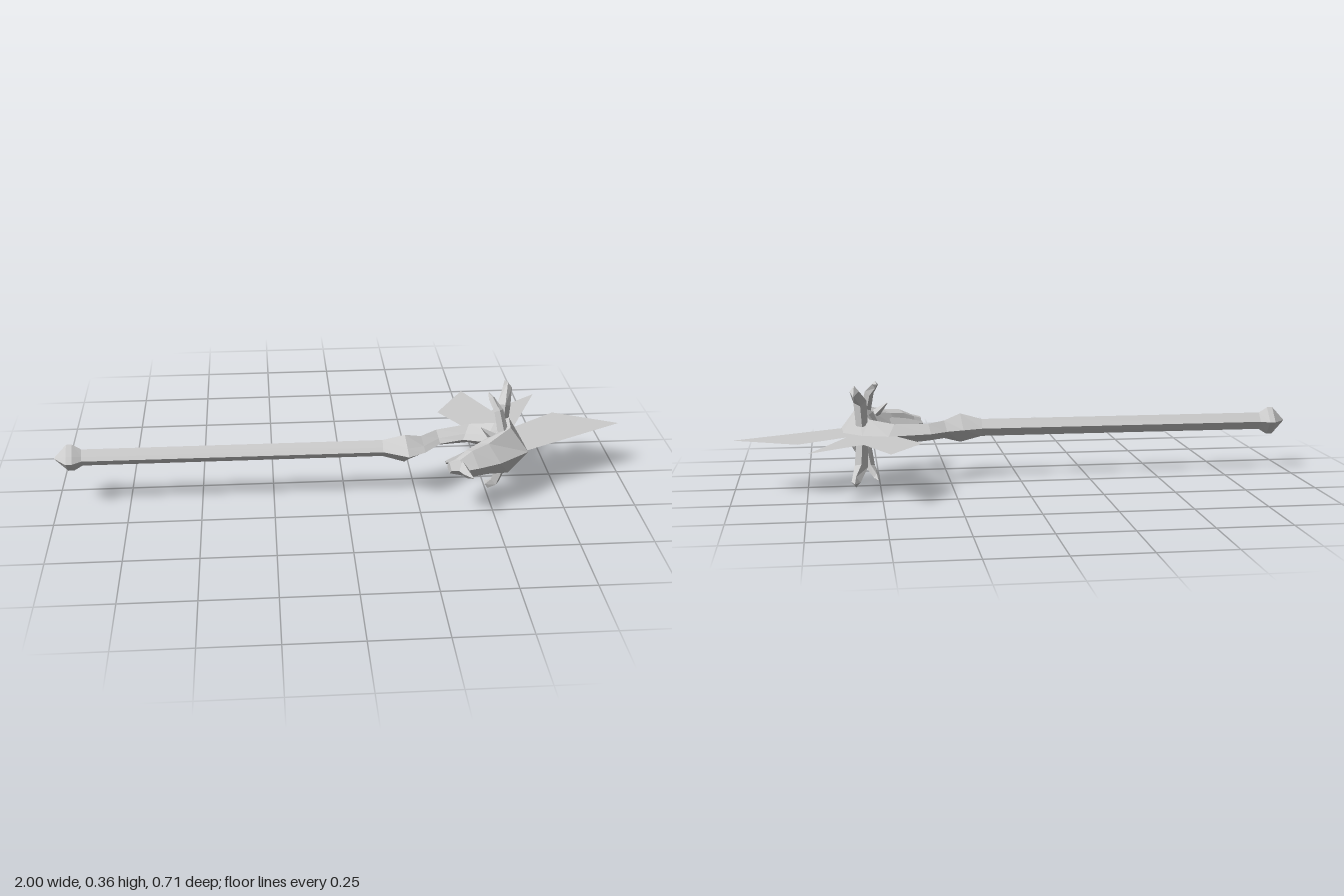
import * as THREE from 'three';

const steel = new THREE.MeshStandardMaterial({ color: 0xcccccc, flatShading: true, side: THREE.DoubleSide });
steel.name = 'grey steel';

// Skin a list of equal-sized point rings with flat facets
function loft(name, rings) {
  const pos = [];
  const n = rings[0].length;
  const push = (...pts) => pts.forEach((p) => pos.push(p.x, p.y, p.z));
  for (let i = 0; i < rings.length - 1; i++) {
    for (let j = 0; j < n; j++) {
      const k = (j + 1) % n;
      const a = rings[i][j], b = rings[i][k], c = rings[i + 1][k], d = rings[i + 1][j];
      push(a, b, c, a, c, d);
    }
  }
  const g = new THREE.BufferGeometry();
  g.setAttribute('position', new THREE.Float32BufferAttribute(pos, 3));
  g.computeVertexNormals();
  const mesh = new THREE.Mesh(g, steel);
  mesh.name = name;
  return mesh;
}

// Section of the body: outer ridge, inner ridge, half width, lower width factor
function section([ox, oz, ix, iz, w, k = 0.4]) {
  const at = (t, y) => new THREE.Vector3(ox + (ix - ox) * t, y, oz + (iz - oz) * t);
  return [at(0, 0), at(0.45, w), at(0.8, w * k), at(1, 0), at(0.8, -w * k), at(0.45, -w)];
}
const body = (name, rows) => loft(name, rows.map(section));

// Four-sided tapering spike through [x, y, z, radius] points
function spike(name, pts, side = 1) {
  const p = pts.map(([x, y, z]) => new THREE.Vector3(x, y * side, z));
  const rings = p.map((c, i) => {
    const t = p[Math.min(i + 1, p.length - 1)].clone().sub(p[Math.max(i - 1, 0)]).normalize();
    const u = new THREE.Vector3(1, 0, 0).cross(t);
    if (u.length() < 0.3) u.set(0, 1, 0).cross(t);
    u.normalize();
    const v = t.clone().cross(u);
    const r = pts[i][3];
    return [0, 1, 2, 3].map((q) => c.clone()
      .addScaledVector(u, Math.cos(q * Math.PI / 2) * r)
      .addScaledVector(v, Math.sin(q * Math.PI / 2) * r * 0.8));
  });
  return loft(name, rings);
}

export function createModel() {
  const staff = new THREE.Group();
  staff.name = 'dragonStaff';

  // Straight shaft with pommel and collar
  staff.add(body('shaft', [
    [-1, 0.104, -1, 0.106, 0.001],
    [-0.955, 0.057, -0.955, 0.157, 0.05],
    [-0.935, 0.057, -0.935, 0.157, 0.05],
    [-0.905, 0.077, -0.905, 0.135, 0.031],
    [0.13, 0.076, 0.13, 0.137, 0.031],
    [0.20, 0.052, 0.215, 0.183, 0.052],
    [0.26, 0.03, 0.275, 0.15, 0.032],
  ]));

  // Curved neck
  staff.add(body('neck', [
    [0.26, 0.03, 0.275, 0.15, 0.032],
    [0.32, -0.01, 0.335, 0.085, 0.03],
    [0.47, -0.038, 0.42, 0.06, 0.036],
    [0.56, -0.008, 0.5, 0.085, 0.05],
    [0.625, 0.06, 0.51, 0.11, 0.09],
  ]));

  // Head curling back towards the shaft
  staff.add(body('head', [
    [0.56, -0.008, 0.5, 0.085, 0.05, 0.6],
    [0.625, 0.06, 0.51, 0.11, 0.093, 0.6],
    [0.63, 0.17, 0.49, 0.13, 0.087, 0.7],
    [0.52, 0.25, 0.435, 0.165, 0.058, 0.8],
    [0.44, 0.282, 0.395, 0.205, 0.05, 0.8],
    [0.39, 0.297, 0.36, 0.235, 0.028, 0.8],
    [0.345, 0.292, 0.337, 0.25, 0.018, 0.8],
    [0.341, 0.272, 0.341, 0.27, 0.001],
  ]));

  // Lower jaw and nose horn
  staff.add(spike('lowerJaw', [[0.46, 0, 0.17, 0.035], [0.39, 0, 0.205, 0.022], [0.335, 0, 0.226, 0.006]]));
  staff.add(spike('noseHorn', [[0.385, 0, 0.275, 0.026], [0.395, 0, 0.315, 0.017], [0.412, 0, 0.352, 0.001]]));

  // Paired horns and ear spikes
  for (const s of [1, -1]) {
    const side = s > 0 ? 'upper' : 'lower';
    staff.add(spike(side + 'RearHorn', [
      [0.56, 0.03, 0.03, 0.026], [0.565, 0.115, 0.025, 0.029],
      [0.585, 0.16, -0.028, 0.02], [0.59, 0.151, -0.105, 0.001]], s));
    staff.add(spike(side + 'FrontHorn', [
      [0.545, 0.06, 0.142, 0.024], [0.53, 0.135, 0.115, 0.02],
      [0.51, 0.167, 0.083, 0.014], [0.505, 0.172, 0.04, 0.001]], s));
    staff.add(spike(side + 'Ear', [[0.51, 0.05, 0.15, 0.022], [0.465, 0.09, 0.153, 0.002]], s));
  }

  // Jagged crest fin, lying in the plane of the staff
  const fin = new THREE.Shape([
    [0.44, 0.03], [0.44, -0.04], [0.36, -0.175], [0.475, -0.357], [0.56, -0.175], [0.742, -0.31],
    [0.615, -0.03], [0.78, -0.143], [1, 0.04 - 0.003], [0.63, 0.157], [0.57, 0.12], [0.54, 0.04],
  ].map(([x, z]) => new THREE.Vector2(x, z === 0.037 ? -0.037 : z)));
  const finMesh = new THREE.Mesh(new THREE.ShapeGeometry(fin).rotateX(Math.PI / 2), steel);
  finMesh.name = 'crestFin';
  staff.add(finMesh);

  staff.position.y = 0.183;
  const model = new THREE.Group();
  model.name = 'staffModel';
  model.add(staff);
  return model;
}
